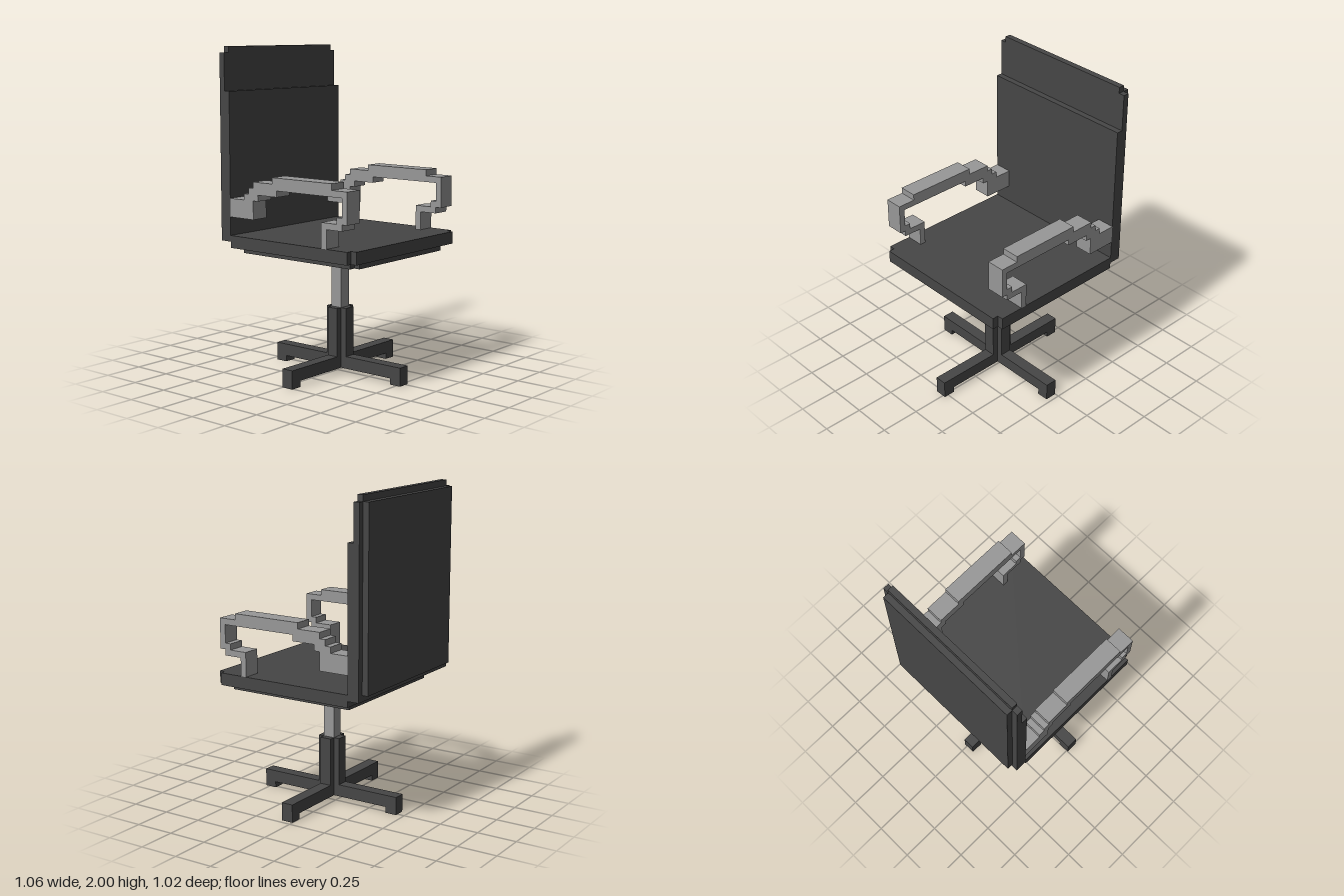
import * as THREE from 'three';

// Everything is laid out on a block grid: 28 wide, 53 high, 27 deep.
const U = 2 / 53;

export function createModel() {
  const chair = new THREE.Group();
  chair.name = 'officeChair';
  const dark = new THREE.MeshStandardMaterial({ color: 0x464646 });
  dark.name = 'dark upholstery';
  const grey = new THREE.MeshStandardMaterial({ color: 0x989898 });
  grey.name = 'grey metal';

  const add = (name, geometry, material) => {
    geometry.translate(-14, 0, -13.5);
    geometry.scale(U, U, U);
    const mesh = new THREE.Mesh(geometry, material);
    mesh.name = name;
    chair.add(mesh);
  };

  // Box between two grid corners
  const box = (name, material, [x0, y0, z0], [x1, y1, z1]) => {
    const g = new THREE.BoxGeometry(x1 - x0, y1 - y0, z1 - z0);
    g.translate((x0 + x1) / 2, (y0 + y1) / 2, (z0 + z1) / 2);
    add(name, g, material);
  };

  const extrude = (points, depth) => new THREE.ExtrudeGeometry(
    new THREE.Shape(points.map(([x, y]) => new THREE.Vector2(x, y))),
    { depth, bevelEnabled: false });

  // Plan outline in (x, z), raised from y0 to y1
  const slab = (name, material, plan, y0, y1) => {
    const g = extrude(plan.map(([x, z]) => [x, -z]), y1 - y0);
    g.rotateX(-Math.PI / 2);
    g.translate(0, y0, 0);
    add(name, g, material);
  };

  // Rectangle with two notched corners at its +x end
  const notched = (x0, x1, z0, z1) => [
    [x0, z0], [x1 - 1, z0], [x1 - 1, z0 + 1], [x1, z0 + 1],
    [x1, z1 - 1], [x1 - 1, z1 - 1], [x1 - 1, z1], [x0, z1]];

  // Seat
  slab('seatCushion', dark, notched(3, 28, 0, 27), 21, 23);
  slab('seatUnderside', dark, notched(4, 27, 2, 25), 20, 21);

  // Backrest, layered from rear to front
  box('backrestShell', dark, [0, 23, 1], [1, 52, 26]);
  box('backrestPanel', dark, [1, 22, 0], [2, 52, 27]);
  box('backrestTopRim', dark, [1, 52, 1], [2, 53, 26]);
  box('backrestCushion', dark, [2, 22, 0], [3, 46, 27]);

  // Armrests: one stepped side profile, repeated on both sides
  const armProfile = [
    [3, 26], [3, 29], [6, 29], [6, 30], [7, 30], [7, 31], [8, 31], [8, 32],
    [12, 32], [12, 33], [24, 33], [24, 32], [27, 32], [27, 27], [26, 27],
    [26, 26], [23, 26], [23, 23], [22, 23], [22, 27], [25, 27], [25, 28],
    [26, 28], [26, 31], [13, 31], [13, 30], [9, 30], [9, 29], [8, 29], [8, 26]];
  for (const [name, z] of [['armrestRear', 0], ['armrestFront', 24]]) {
    const g = extrude(armProfile, 3);
    g.translate(0, 0, z);
    add(name, g, grey);
  }

  // Gas lift and its plus-shaped sleeve
  box('gasLift', grey, [14, 11, 13], [16, 20, 15]);
  const cross = (x0, x1, z0, z1) => [
    [x0, 13], [14, 13], [14, z0], [16, z0], [16, 13], [x1, 13],
    [x1, 15], [16, 15], [16, z1], [14, z1], [14, 15], [x0, 15]];
  slab('liftSleeve', dark, cross(13, 17, 12, 16), 3, 11);

  // Four-legged base with a foot under each end
  slab('baseLegs', dark, cross(2, 28, 1, 27), 1, 3);
  for (const [x, z] of [[2, 13], [26, 13], [14, 1], [14, 25]]) {
    box('foot', dark, [x, 0, z], [x + 2, 1, z + 2]);
  }
  return chair;
}
